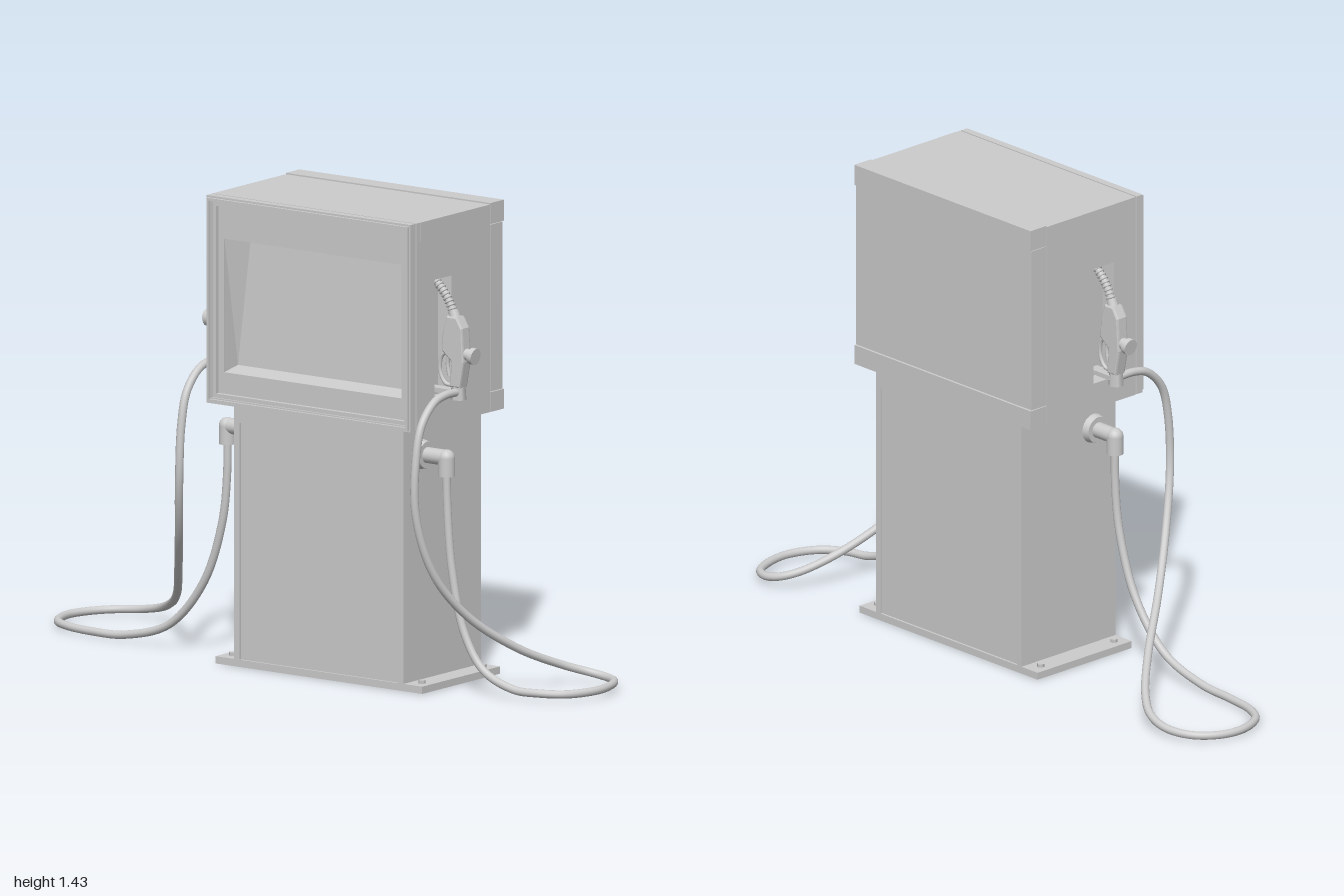
import * as THREE from 'three';

const mat = new THREE.MeshStandardMaterial({ color: 0xcccccc });
const flat = new THREE.MeshStandardMaterial({ color: 0xcccccc, flatShading: true, side: THREE.DoubleSide });
const CX = 0.147; // cabinet centre line
const V = (x, y, z) => new THREE.Vector3(x, y, z);

function add(parent, name, geo, m = mat) {
  const mesh = new THREE.Mesh(geo, m);
  mesh.name = name;
  parent.add(mesh);
  return mesh;
}

// Box given by its limits
function box(parent, name, x0, x1, y0, y1, z0, z1) {
  const g = new THREE.BoxGeometry(Math.abs(x1 - x0), y1 - y0, z1 - z0);
  g.translate((x0 + x1) / 2, (y0 + y1) / 2, (z0 + z1) / 2);
  return add(parent, name, g);
}

// Cylinder between two points
function rod(parent, name, a, b, r0, r1 = r0, seg = 24) {
  const d = b.clone().sub(a);
  const mesh = add(parent, name, new THREE.CylinderGeometry(r1, r0, d.length(), seg));
  mesh.position.copy(a).add(b).multiplyScalar(0.5);
  mesh.quaternion.setFromUnitVectors(V(0, 1, 0), d.normalize());
  return mesh;
}

function rect(Type, x0, x1, y0, y1) {
  return new Type([[x0, y0], [x1, y0], [x1, y1], [x0, y1]].map(p => new THREE.Vector2(...p)));
}

// Rectangular plate with a rectangular hole, extruded along z
function ring(parent, name, o, i, z0, z1) {
  const s = rect(THREE.Shape, ...o);
  s.holes.push(rect(THREE.Path, ...i));
  const g = new THREE.ExtrudeGeometry(s, { depth: z1 - z0, bevelEnabled: false });
  g.translate(0, 0, z0);
  return add(parent, name, g);
}

// Walls from one four-cornered loop to another, closed by the second loop
function pocket(parent, name, a, b) {
  const pos = [];
  const quad = (p, q, r, s) => [p, q, r, p, r, s].forEach(v => pos.push(...v));
  for (let i = 0; i < 4; i++) quad(a[i], a[(i + 1) % 4], b[(i + 1) % 4], b[i]);
  quad(...b);
  const g = new THREE.BufferGeometry();
  g.setAttribute('position', new THREE.Float32BufferAttribute(pos, 3));
  g.computeVertexNormals();
  return add(parent, name, g, flat);
}

function tube(parent, name, pts, r, n) {
  const c = new THREE.CatmullRomCurve3(pts.map(p => V(...p)), false, 'centripetal');
  add(parent, name, new THREE.TubeGeometry(c, n, r, 12));
  return c;
}

function buildPedestal(g) {
  box(g, 'basePlate', -0.385, 0.385, 0, 0.022, -0.223, 0.162);
  box(g, 'column', -0.315, 0.315, 0.022, 0.8, -0.216, 0.155);
  for (const s of [-1, 1]) {
    for (const [z0, z1] of [[0.155, 0.162], [-0.223, -0.216]])
      box(g, 'cornerPost', s * 0.295, s * 0.315, 0.022, 0.8, z0, z1);
    for (const z of [-0.18, 0.12])
      rod(g, 'anchorBolt', V(s * 0.353, 0.02, z), V(s * 0.353, 0.032, z), 0.011, 0.011, 6);
  }
  box(g, 'frontHeader', -0.295, 0.295, 0.74, 0.8, 0.155, 0.161);
  box(g, 'backHeader', -0.295, 0.295, 0.74, 0.8, -0.222, -0.216);
}

function buildHead(g) {
  box(g, 'headCore', -0.33, 0.33, 0.803, 1.427, -0.24, 0.1);
  box(g, 'topPanel', -0.38, 0.38, 1.4, 1.43, -0.18, 0.183);
  box(g, 'bottomPanel', -0.38, 0.38, 0.8, 0.83, -0.18, 0.183);
  // Side panels with the nozzle opening, drawn in (-z, y) and turned to face sideways
  for (const s of [-1, 1]) {
    const p = ring(g, 'sidePanel', [-0.183, 0.18, 0.83, 1.4], [-0.095, -0.01, 0.88, 1.245], 0, 0.05);
    p.geometry.rotateY(Math.PI / 2);
    p.geometry.translate(s > 0 ? 0.33 : -0.38, 0, 0);
    box(g, 'sideTrim', s * 0.36, s * 0.381, 1.372, 1.43, -0.18, 0.165);
  }
  // Back cover in three bands
  box(g, 'backCover', -0.38, 0.38, 0.862, 1.368, -0.243, -0.182);
  box(g, 'backTopBand', -0.381, 0.381, 1.37, 1.434, -0.248, -0.182);
  box(g, 'backBottomBand', -0.381, 0.381, 0.8, 0.86, -0.248, -0.182);
  // Stepped front frame and fascia
  box(g, 'frameNeck', -0.372, 0.372, 1.39, 1.42, 0.1, 0.19);
  ring(g, 'frontFrame', [-0.38, 0.38, 0.8, 1.43], [-0.362, 0.362, 0.818, 1.412], 0.188, 0.212);
  ring(g, 'frontFrameBead', [-0.374, 0.374, 0.806, 1.424], [-0.366, 0.366, 0.814, 1.416], 0.212, 0.221);
  ring(g, 'frontFrameInner', [-0.363, 0.363, 0.817, 1.413], [-0.35, 0.35, 0.83, 1.4], 0.183, 0.206);
  ring(g, 'fascia', [-0.363, 0.363, 0.817, 1.413], [-0.33, 0.33, 0.895, 1.3], 0.178, 0.192);
  // Display pocket, leaning back towards the top
  pocket(g, 'displayPocket',
    [[-0.33, 0.895, 0.19], [0.33, 0.895, 0.19], [0.33, 1.3, 0.19], [-0.33, 1.3, 0.19]],
    [[-0.325, 0.908, 0.13], [0.325, 0.908, 0.13], [0.295, 1.3, 0.105], [-0.295, 1.3, 0.105]]);
}

function buildNozzle(g, s) {
  const z = 0.05;
  // Body and grip outline
  const outline = [[0.41, 1.13], [0.44, 1.13], [0.458, 1.1], [0.464, 1.0], [0.45, 0.925],
    [0.422, 0.925], [0.428, 1.0], [0.392, 1.03], [0.396, 1.09]];
  const body = new THREE.ExtrudeGeometry(
    new THREE.Shape(outline.map(p => new THREE.Vector2(s * p[0], p[1]))),
    { depth: 0.028, bevelThickness: 0.007, bevelSize: 0.005, bevelSegments: 2 });
  body.translate(0, 0, z - 0.014);
  add(g, 'nozzleBody', body);
  // Spout with ribbed spring
  const spout = tube(g, 'spout', [[s * 0.428, 1.11, z], [s * 0.41, 1.16, z], [s * 0.385, 1.2, z], [s * 0.345, 1.24, z]], 0.011, 20);
  for (let i = 0; i < 9; i++) {
    const t = 0.3 + i * 0.075;
    const rib = add(g, 'spoutRib', new THREE.TorusGeometry(0.011, 0.004, 6, 16));
    rib.position.copy(spout.getPointAt(t));
    rib.quaternion.setFromUnitVectors(V(0, 0, 1), spout.getTangentAt(t));
  }
  rod(g, 'spoutCollar', V(s * 0.43, 1.11, z), V(s * 0.416, 1.152, z), 0.019, 0.015);
  // Side knob
  rod(g, 'knobStem', V(s * 0.43, 1.025, z), V(s * 0.488, 1.02, z), 0.018);
  rod(g, 'knobCap', V(s * 0.484, 1.02, z), V(s * 0.5, 1.018, z), 0.025);
  // Trigger guard loop and lever
  tube(g, 'triggerGuard', [[s * 0.4, 1.03, z], [s * 0.373, 1.005, z], [s * 0.368, 0.96, z], [s * 0.39, 0.925, z], [s * 0.43, 0.925, z]], 0.006, 24);
  tube(g, 'trigger', [[s * 0.41, 1.035, z], [s * 0.396, 0.99, z], [s * 0.402, 0.95, z]], 0.006, 12);
  // Hose fitting and holder
  rod(g, 'hoseFitting', V(s * 0.436, 0.882, z), V(s * 0.436, 0.94, z), 0.024, 0.02, 6);
  box(g, 'nozzleHolder', s * 0.335, s * 0.43, 0.898, 0.912, z - 0.018, z + 0.018);
}

function buildElbow(g, s) {
  const y = 0.705, z = 0.072;
  rod(g, 'wallFlange', V(s * 0.312, y, z), V(s * 0.336, y, z), 0.046, 0.04, 32);
  rod(g, 'elbowPipe', V(s * 0.33, y, z), V(s * 0.408, y, z), 0.024);
  add(g, 'elbowCorner', new THREE.SphereGeometry(0.0255, 24, 16)).position.set(s * 0.408, y, z);
  rod(g, 'elbowDrop', V(s * 0.408, y, z), V(s * 0.408, 0.65, z), 0.0255);
}

export function createModel() {
  const root = new THREE.Group();
  root.name = 'fuelDispenser';
  const cabinet = new THREE.Group();
  cabinet.name = 'cabinet';
  cabinet.position.x = CX;
  root.add(cabinet);
  buildPedestal(cabinet);
  buildHead(cabinet);
  for (const s of [-1, 1]) {
    buildNozzle(cabinet, s);
    buildElbow(cabinet, s);
  }

  // Hoses: from nozzle, over the front, round a loop on the ground, up to the elbow
  const start = x => [[x, 0.905, 0.05], [x, 0.905, 0.12], [x, 0.89, 0.175], [x, 0.83, 0.235], [x, 0.73, 0.262]];
  tube(root, 'leftHose', [...start(0.584),
    [0.585, 0.56, 0.263], [0.61, 0.38, 0.21], [0.655, 0.24, 0.1], [0.725, 0.125, -0.06],
    [0.79, 0.06, -0.2], [0.84, 0.038, -0.253], [0.89, 0.028, -0.266], [0.94, 0.025, -0.244], [0.975, 0.024, -0.18],
    [0.987, 0.024, -0.09], [0.95, 0.024, 0.005], [0.88, 0.026, 0.052], [0.8, 0.03, 0.066],
    [0.69, 0.075, 0.068], [0.62, 0.18, 0.07], [0.575, 0.37, 0.072], [0.558, 0.56, 0.072], [0.555, 0.67, 0.072]], 0.0125, 220);
  tube(root, 'rightHose', [...start(-0.29),
    [-0.297, 0.56, 0.263], [-0.345, 0.39, 0.2], [-0.43, 0.25, 0.09], [-0.56, 0.135, -0.075],
    [-0.68, 0.07, -0.2], [-0.76, 0.04, -0.253], [-0.84, 0.024, -0.266], [-0.92, 0.018, -0.24], [-0.97, 0.016, -0.18],
    [-0.987, 0.016, -0.1], [-0.95, 0.016, -0.005], [-0.88, 0.016, 0.038], [-0.77, 0.016, 0.058], [-0.65, 0.022, 0.064],
    [-0.48, 0.075, 0.068], [-0.35, 0.22, 0.07], [-0.28, 0.41, 0.072], [-0.262, 0.56, 0.072], [-0.261, 0.67, 0.072]], 0.0125, 220);
  return root;
}
